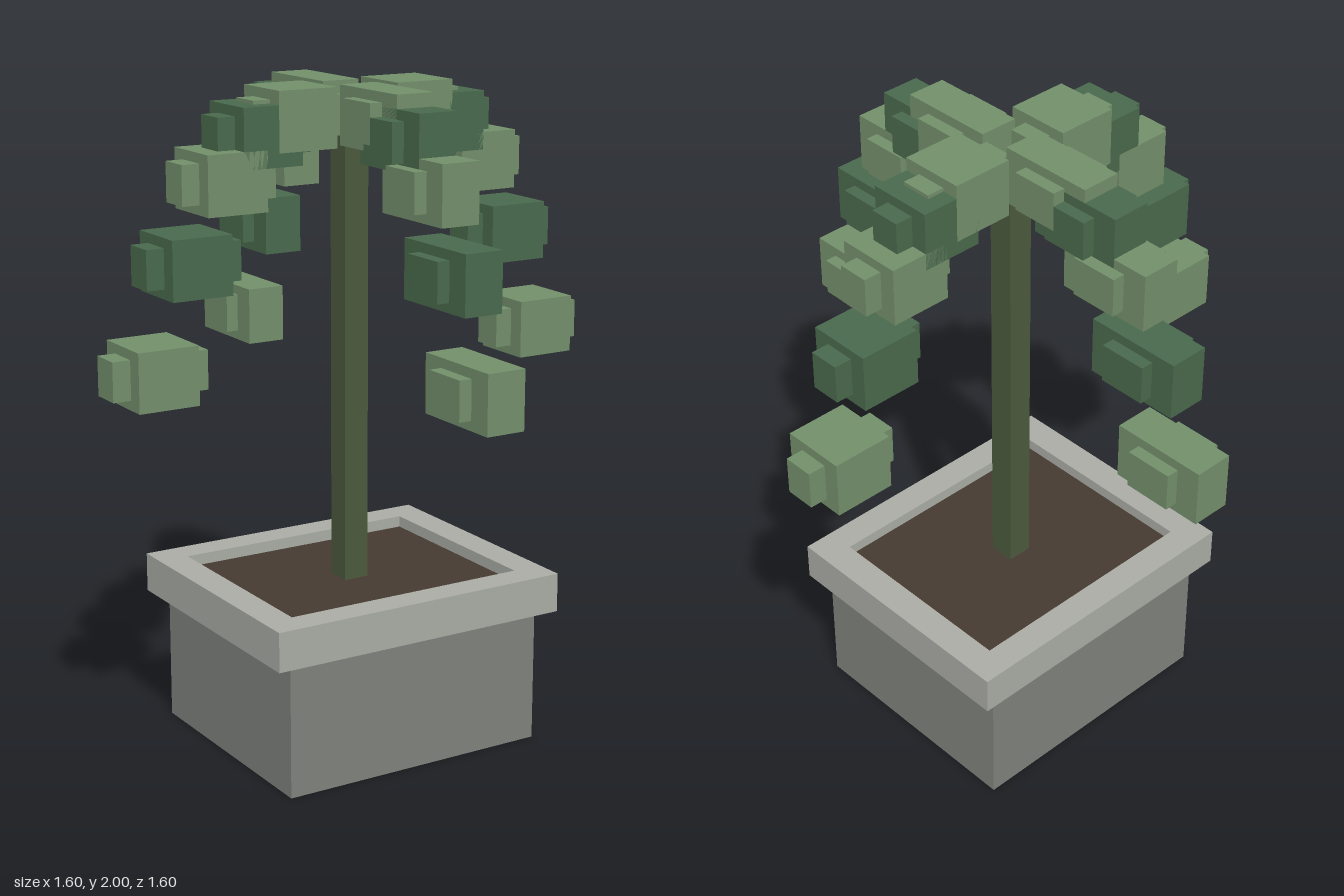
import * as THREE from 'three';

const mat = (color) => new THREE.MeshStandardMaterial({ color });

export function createModel() {
  const model = new THREE.Group();
  model.name = 'pottedTree';

  const lightLeaf = mat(0x728f6a);
  const darkLeaf = mat(0x49694c);
  const bark = mat(0x4a593c);
  const earth = mat(0x463a30);
  const stone = mat(0x7d817b);
  const rimStone = mat(0xa9aba4);

  // Box given by its size and centre
  function box(name, size, centre, material, parent = model) {
    const mesh = new THREE.Mesh(new THREE.BoxGeometry(...size), material);
    mesh.name = name;
    mesh.position.set(...centre);
    parent.add(mesh);
    return mesh;
  }

  // Pot body and the soil sunk inside the rim
  box('potBody', [0.856, 0.41, 0.75], [0, 0.205, 0], stone);
  box('soil', [0.78, 0.09, 0.64], [0, 0.45, 0], earth);

  // Rim: a rectangular frame with an open middle
  const rect = (path, w, d) => {
    path.moveTo(-w, -d);
    path.lineTo(w, -d);
    path.lineTo(w, d);
    path.lineTo(-w, d);
    path.closePath();
    return path;
  };
  const frame = rect(new THREE.Shape(), 0.485, 0.412);
  frame.holes.push(rect(new THREE.Path(), 0.39, 0.32));
  const rimGeometry = new THREE.ExtrudeGeometry(frame, { depth: 0.12, bevelEnabled: false });
  rimGeometry.rotateX(-Math.PI / 2);
  const rim = new THREE.Mesh(rimGeometry, rimStone);
  rim.name = 'potRim';
  rim.position.y = 0.41;
  model.add(rim);

  // Trunk
  box('trunk', [0.08, 1.4, 0.08], [0, 1.18, 0], bark);

  // Leaf clusters along one drooping branch: [distance from trunk, height]
  const clusters = [[0.197, 1.91], [0.31, 1.87], [0.425, 1.747], [0.54, 1.52], [0.652, 1.215]];

  // Each cluster is a block crossed by a smaller one; sizes differ per axis
  const sideBlocks = [[0.19, 0.175, 0.2], [0.3, 0.117, 0.096]];
  const frontBlocks = [[0.122, 0.175, 0.3], [0.2, 0.117, 0.147]];
  const branches = [
    ['leftBranch', 1, 0, sideBlocks],
    ['rightBranch', -1, 0, sideBlocks],
    ['frontBranch', 0, 1, frontBlocks],
    ['backBranch', 0, -1, frontBlocks],
  ];
  for (const [name, dx, dz, [main, cross]] of branches) {
    const branch = new THREE.Group();
    branch.name = name;
    clusters.forEach(([reach, height], i) => {
      const leaf = i % 2 ? darkLeaf : lightLeaf;
      const centre = [dx * reach, height, dz * reach];
      box('leafBlock', main, centre, leaf, branch);
      box('leafCrossBlock', cross, centre, leaf, branch);
    });
    model.add(branch);
  }

  return model;
}
